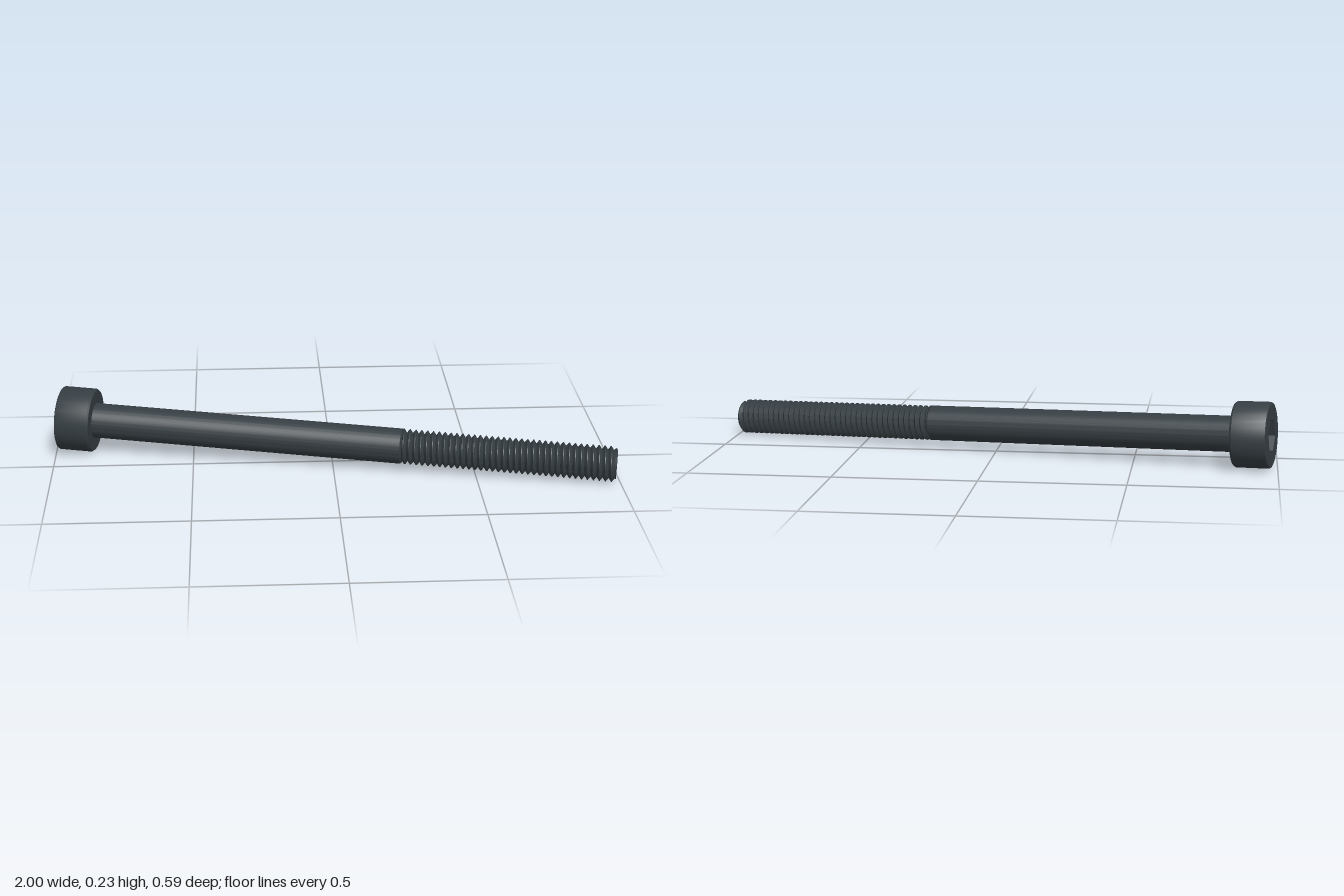
import * as THREE from 'three';
import { toCreasedNormals } from 'three/addons/utils/BufferGeometryUtils.js';

const SEG = 64;
const HEAD_R = 0.115, HEAD_H = 0.126, BEVEL = 0.007;
const SHANK_R = 0.0628, ROOT_R = 0.05;
const SOCKET_R = 0.0605, SOCKET_DEPTH = 0.06;
const PITCH = 0.0209, THREAD_START = 1.25;

const steel = new THREE.MeshStandardMaterial({ color: 0x363e43 });
steel.name = 'blackened steel';

function part(name, geometry) {
  const mesh = new THREE.Mesh(toCreasedNormals(geometry, 0.5), steel);
  mesh.name = name;
  return mesh;
}

function turned(points) {
  return new THREE.LatheGeometry(points.map(([r, y]) => new THREE.Vector2(r, y)), SEG);
}

// Top of the head: a ring with a hexagonal hole
function socketGeometry(rim) {
  const ring = new THREE.Shape().absarc(0, 0, rim, 0, Math.PI * 2);
  const corners = [];
  for (let i = 0; i < 6; i++) {
    const a = Math.PI / 2 + i * Math.PI / 3;
    corners.push(new THREE.Vector2(SOCKET_R * Math.cos(a), SOCKET_R * Math.sin(a)));
  }
  ring.holes.push(new THREE.Path(corners));
  return new THREE.ExtrudeGeometry(ring, { depth: SOCKET_DEPTH, bevelEnabled: false, curveSegments: SEG / 2 })
    .rotateX(-Math.PI / 2);
}

// V-thread: a ribbed lathe sheared into a right-hand helix and trimmed at both ends
function threadGeometry(end) {
  const points = [];
  for (let y = THREAD_START - 2 * PITCH; y < end + PITCH; y += PITCH) {
    points.push([ROOT_R, y], [SHANK_R, y + PITCH * 0.44], [SHANK_R, y + PITCH * 0.56]);
  }
  const geometry = turned(points);
  const pos = geometry.attributes.position;
  for (let k = 0; k < pos.count; k++) {
    const turn = Math.floor(k / points.length) / SEG;
    const y = THREE.MathUtils.clamp(pos.getY(k) + turn * PITCH, THREAD_START, end);
    const r = Math.hypot(pos.getX(k), pos.getZ(k));
    const s = Math.min(r, ROOT_R + 0.002 + (end - y)) / r;   // chamfered tip
    pos.setXYZ(k, pos.getX(k) * s, y, pos.getZ(k) * s);
  }
  return geometry;
}

export function createModel() {
  const group = new THREE.Group();
  group.name = 'socketHeadBolt';

  // The bolt is built along +y from the head, then laid along this line
  const headEnd = new THREE.Vector3(-0.977, 0.1185, -0.183);
  const tipEnd = new THREE.Vector3(0.988, 0.063, 0.235);
  const axis = tipEnd.clone().sub(headEnd);
  const length = axis.length();

  const bolt = new THREE.Group();
  bolt.name = 'bolt';
  bolt.position.copy(headEnd);
  bolt.quaternion.setFromUnitVectors(new THREE.Vector3(0, 1, 0), axis.normalize());
  group.add(bolt);

  // Head with bevelled rims, then the hexagonal socket
  bolt.add(part('head', turned([
    [HEAD_R - BEVEL, 0], [HEAD_R - BEVEL * 0.3, BEVEL * 0.3], [HEAD_R, BEVEL],
    [HEAD_R, HEAD_H - BEVEL], [HEAD_R - BEVEL * 0.7, HEAD_H], [SHANK_R - 0.01, HEAD_H],
  ])));
  bolt.add(part('headSocket', socketGeometry(HEAD_R - BEVEL)));
  bolt.add(part('socketFloor', new THREE.CircleGeometry(SOCKET_R, 6, Math.PI / 2)
    .rotateX(Math.PI / 2).translate(0, SOCKET_DEPTH - 0.0005, 0)));

  // Plain shank, tapering into the thread
  bolt.add(part('shank', turned([
    [SHANK_R, HEAD_H - 0.002], [SHANK_R, THREAD_START - 0.004], [ROOT_R, THREAD_START + 0.006],
  ])));

  bolt.add(part('thread', threadGeometry(length)));
  bolt.add(part('tip', new THREE.CircleGeometry(ROOT_R + 0.002, SEG)
    .rotateX(-Math.PI / 2).translate(0, length, 0)));
  return group;
}
